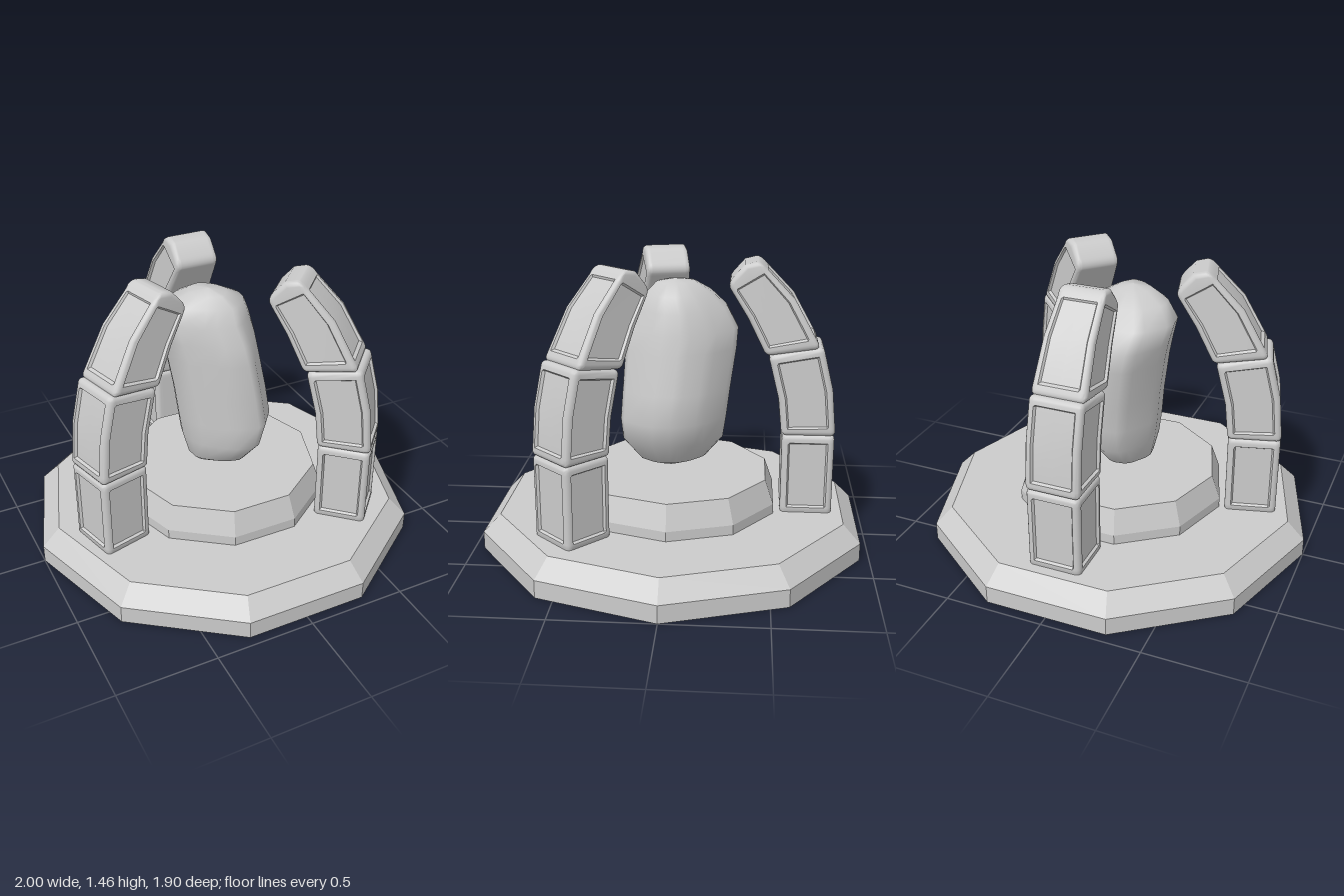
import * as THREE from 'three';
import { toCreasedNormals } from 'three/addons/utils/BufferGeometryUtils.js';

const grey = () => new THREE.MeshStandardMaterial({ color: 0xcccccc });

function addMesh(parent, name, geometry, material = grey()) {
  const mesh = new THREE.Mesh(geometry, material);
  mesh.name = name;
  parent.add(mesh);
  return mesh;
}

// Ten-sided stepped plate from [radius, y] points, with a corner on +x
function plate(points) {
  const profile = points.map(([r, y]) => new THREE.Vector2(r, y));
  return toCreasedNormals(new THREE.LatheGeometry(profile, 10, Math.PI / 2), 0.3);
}

// Grid lines along one side of a block: rounded edge, panel rim, panel floor, middle
const ROUND = 0.025;
function gridLines(length, rim) {
  const half = [0, 0.6 * ROUND, ROUND, rim, rim + 0.008];
  return [...half, length / 2, ...half.map((h) => length - h).reverse()];
}

// Piecewise line through three [out, y] points, at v = 0, 0.5 and 1
function along(pts, v) {
  const i = v < 0.5 ? 0 : 1;
  const t = v * 2 - i;
  return pts[i].map((c, k) => c + (pts[i + 1][k] - c) * t);
}

// Rounded block with sunken panels on its sides and outer face, bent between two lines
function bentBlock({ outer, inner, widths, bulge = 0 }) {
  const size = [0.27, outer[2][1] - outer[0][1], 0.265];
  const lines = [gridLines(size[0], 0.032), gridLines(size[1], 0.042), gridLines(size[2], 0.032)];
  const geometry = new THREE.BoxGeometry(1, 1, 1, 10, 10, 10);
  const pos = geometry.attributes.position;
  const inPanel = (i) => i >= 4 && i <= 6;
  for (let n = 0; n < pos.count; n++) {
    const index = [pos.getX(n), pos.getY(n), pos.getZ(n)].map((c) => Math.round((c + 0.5) * 10));
    const p = new THREE.Vector3(...index.map((i, k) => lines[k][i]));
    // round the edges
    const core = new THREE.Vector3(...size.map((s, k) =>
      THREE.MathUtils.clamp(p.getComponent(k), ROUND, s - ROUND)));
    p.sub(core).setLength(ROUND).add(core);
    // sink the panels
    const [ix, iy, iz] = index;
    if (inPanel(iy) && inPanel(iz)) p.x += ix === 0 ? 0.013 : -0.013;
    if (iz === 10 && inPanel(ix) && inPanel(iy)) p.z -= 0.013;
    // bend and taper
    const v = p.y / size[1];
    const w = p.z / size[2];
    const a = along(inner, v);
    const b = along(outer, v);
    const lift = v > 0.9 ? bulge * Math.sin(Math.PI * w) : 0;
    const width = THREE.MathUtils.lerp(widths[0], widths[1], v);
    pos.setXYZ(n, (p.x / size[0] - 0.5) * width,
      a[1] + (b[1] - a[1]) * w + lift, a[0] + (b[0] - a[0]) * w);
  }
  return toCreasedNormals(geometry, 0.7);
}

const BLOCKS = {
  lowerBlock: {
    outer: [[0, 0.165], [0, 0.38], [0, 0.597]],
    inner: [[-0.262, 0.165], [-0.262, 0.38], [-0.262, 0.597]],
    widths: [0.27, 0.27],
  },
  middleBlock: {
    outer: [[0.004, 0.592], [-0.018, 0.83], [-0.072, 1.05]],
    inner: [[-0.266, 0.592], [-0.285, 0.78], [-0.34, 1.0]],
    widths: [0.275, 0.27],
  },
  tipBlock: {
    outer: [[-0.085, 1.04], [-0.218, 1.28], [-0.385, 1.455]],
    inner: [[-0.352, 1.0], [-0.445, 1.185], [-0.545, 1.345]],
    widths: [0.275, 0.225],
    bulge: 0.045,
  },
};

// Standing stone: faceted outline with cut corners, fitted to the extents at each height
function stone() {
  const corners = [[-0.5, -0.98], [0.11, -1.04], [0.76, -0.54], [1.03, -0.07], [1.0, 0.46],
    [0.47, 1.05], [-0.17, 0.9], [-0.95, 0.36], [-1.04, -0.27]];
  const outline = [];
  corners.forEach((c, i) => {
    const before = corners[(i + corners.length - 1) % corners.length];
    const after = corners[(i + 1) % corners.length];
    for (const o of [before, after]) outline.push(c.map((k, j) => k + (o[j] - k) * 0.18));
  });
  // y, x min, x max, z min, z max
  const levels = [
    [0.385, -0.05, -0.05, 0.01, 0.01], [0.385, -0.13, 0.04, -0.06, 0.08],
    [0.42, -0.165, 0.12, -0.16, 0.17], [0.53, -0.19, 0.19, -0.245, 0.25],
    [0.65, -0.205, 0.235, -0.262, 0.258], [0.8, -0.22, 0.215, -0.28, 0.248],
    [1.0, -0.25, 0.18, -0.308, 0.235], [1.1, -0.272, 0.165, -0.315, 0.215],
    [1.2, -0.295, 0.14, -0.26, 0.175], [1.28, -0.24, 0.11, -0.18, 0.14],
    [1.33, -0.15, 0.02, -0.1, 0.09], [1.345, -0.06, -0.06, 0, 0],
  ];
  const count = outline.length;
  const vertices = [];
  const faces = [];
  levels.forEach(([y, x0, x1, z0, z1], j) => {
    outline.forEach(([u, w], i) => {
      vertices.push((x0 + x1) / 2 + u * (x1 - x0) / 2, y, (z0 + z1) / 2 + w * (z1 - z0) / 2);
      if (j === 0) return;
      const next = (i + 1) % count;
      const a = (j - 1) * count + i;
      const b = (j - 1) * count + next;
      faces.push(a, a + count, b, b, a + count, b + count);
    });
  });
  const geometry = new THREE.BufferGeometry();
  geometry.setAttribute('position', new THREE.Float32BufferAttribute(vertices, 3));
  geometry.setIndex(faces);
  geometry.computeVertexNormals();
  return geometry;
}

export function createModel() {
  const model = new THREE.Group();
  model.name = 'stoneShrine';

  // Stepped floor
  addMesh(model, 'base', plate([[0, 0], [1, 0], [1, 0.09], [0.91, 0.18], [0, 0.18]]));
  addMesh(model, 'innerStep', plate([[0.545, 0.17], [0.545, 0.23], [0.5, 0.355], [0, 0.355]]));

  // Three curved pillars leaning inwards: foot position and outward direction
  const pillars = [
    ['backPillar', 0.014, -0.815, 0, -1],
    ['rightPillar', -0.795, 0.184, -0.966, 0.258],
    ['leftPillar', 0.595, 0.545, 0.73, 0.685],
  ];
  const blocks = Object.entries(BLOCKS).map(([name, spec]) => [name, bentBlock(spec)]);
  for (const [name, x, z, dx, dz] of pillars) {
    const pillar = new THREE.Group();
    pillar.name = name;
    pillar.position.set(x, 0, z);
    pillar.rotation.y = Math.atan2(dx, dz);
    for (const [blockName, geometry] of blocks) addMesh(pillar, blockName, geometry);
    model.add(pillar);
  }

  // Floating stone in the middle
  addMesh(model, 'floatingStone', stone());
  return model;
}
